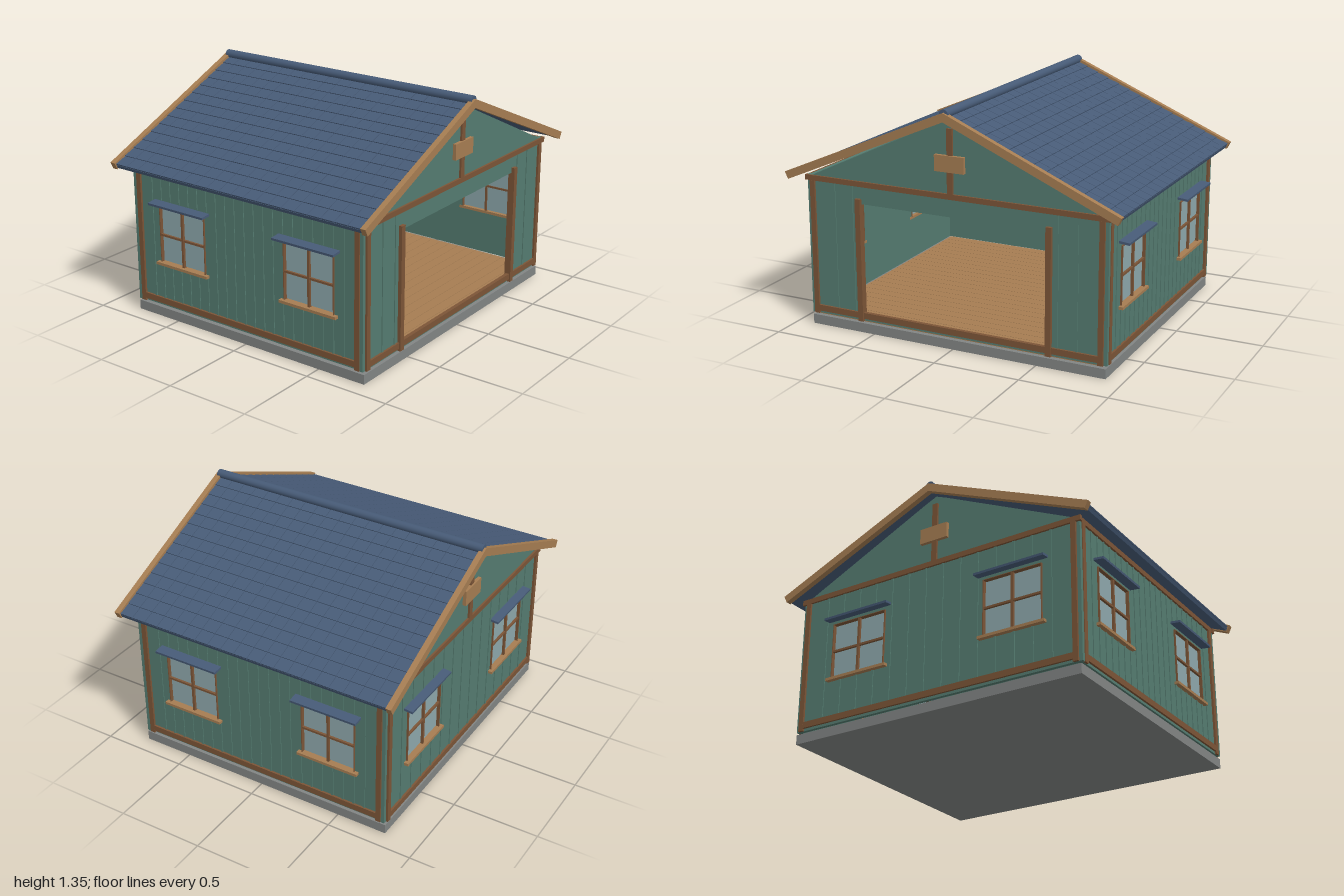
import * as THREE from 'three';
import { mergeGeometries } from 'three/addons/utils/BufferGeometryUtils.js';

const mat = (name, color) => {
  const m = new THREE.MeshStandardMaterial({ color });
  m.name = name;
  return m;
};

export function createModel() {
  const house = new THREE.Group();
  house.name = 'house';
  const green = mat('green wall', 0x557c71);
  const brown = mat('brown trim', 0x7c5537);
  const tan = mat('light wood', 0xa67d52);
  const blue = mat('blue roof', 0x475b77);
  const glass = mat('window glass', 0x8ea8ac);
  const stone = mat('stone base', 0x828584);

  const add = (parent, name, geo, material) => {
    const m = new THREE.Mesh(geo, material);
    m.name = name;
    parent.add(m);
    return m;
  };
  // Box given by its min and max corners
  const span = (x0, x1, y0, y1, z0, z1) =>
    new THREE.BoxGeometry(x1 - x0, y1 - y0, z1 - z0)
      .translate((x0 + x1) / 2, (y0 + y1) / 2, (z0 + z1) / 2);
  const polygon = (pts) => new THREE.Shape(pts.map((p) => new THREE.Vector2(...p)));
  const extrude = (shape, depth, z = 0) =>
    new THREE.ExtrudeGeometry(shape, { depth, bevelEnabled: false }).translate(0, 0, z);

  // Base slab and plank floor
  add(house, 'foundation', span(-0.9, 0.9, 0, 0.055, -0.795, 0.795), stone);
  const planks = [];
  const rows = 24, pitch = 1.54 / rows;
  for (let i = 0; i < rows; i++) {
    const z = -0.77 + i * pitch;
    planks.push(span(-0.87, 0.87, 0.055, 0.068, z, z + pitch - 0.003));
  }
  add(house, 'floorPlanks', mergeGeometries(planks), tan);

  // Window in wall coordinates: outer wall face is z = 0
  const Y0 = 0.338, Y1 = 0.67, YM = (Y0 + Y1) / 2;
  function addWindow(wall, cx, half, reach) {
    const w = new THREE.Group();
    w.name = 'window';
    w.position.x = cx;
    add(w, 'glass', span(-half + 0.01, half - 0.01, Y0 + 0.01, Y1 - 0.01, -0.012, -0.006), glass);
    add(w, 'windowFrame', mergeGeometries([
      span(-0.007, 0.007, Y0, Y1, -0.018, 0.008),
      span(-half, half, YM - 0.006, YM + 0.006, -0.018, 0.007),
      span(-half, -half + 0.005, Y0, Y1, -0.022, 0.01),
      span(half - 0.005, half, Y0, Y1, -0.022, 0.01),
      span(-half, half, Y1 - 0.004, Y1, -0.022, 0.01),
    ]), brown);
    add(w, 'sill', span(-half - 0.022, half + 0.022, Y0 - 0.012, Y0 + 0.004, -0.022, 0.026), tan);
    const hood = add(w, 'hood', new THREE.BoxGeometry(2 * half + 0.07, 0.013, reach + 0.03), blue);
    hood.position.set(0, 0.698, (reach - 0.03) / 2);
    hood.rotation.x = 0.1;
    wall.add(w);
  }

  // Wall with holes, vertical battens and a board frame
  function addWall({ name, half, windows = [], winHalf = 0, opening, reach, spacing }) {
    const wall = new THREE.Group();
    wall.name = name;
    const shape = polygon([[-half, 0.07], [half, 0.07], [half, 0.88], [-half, 0.88]]);
    const hole = (x0, x1, y0, y1) =>
      shape.holes.push(new THREE.Path([[x0, y0], [x0, y1], [x1, y1], [x1, y0]]
        .map((p) => new THREE.Vector2(...p))));
    windows.forEach((cx) => hole(cx - winHalf, cx + winHalf, Y0, Y1));
    if (opening) hole(-opening, opening, 0.085, 0.75);
    add(wall, 'wallPanel', extrude(shape, 0.02, -0.02), green);

    const battens = [];
    const count = Math.round((2 * half - 0.12) / spacing);
    for (let i = 1; i < count; i++) {
      const x = -half + 0.06 + i * (2 * half - 0.12) / count;
      const put = (y0, y1) => battens.push(span(x - 0.006, x + 0.006, y0, y1, -0.001, 0.005));
      if (opening && Math.abs(x) < opening + 0.03) continue;
      if (windows.some((cx) => Math.abs(x - cx) < winHalf + 0.02)) {
        put(0.1, Y0 - 0.01);
        put(0.71, 0.86);
      } else put(0.1, 0.86);
    }
    add(wall, 'battens', mergeGeometries(battens), green);

    const e = half - 0.02, f = half - 0.05;
    add(wall, 'boardFrame', mergeGeometries([
      span(-e, e, 0.085, 0.12, -0.01, 0.012),
      span(-half - 0.01, half + 0.01, 0.85, 0.88, -0.01, 0.012),
      span(-e, -f, 0.07, 0.85, 0, 0.0125),
      span(f, e, 0.07, 0.85, 0, 0.0125),
    ]), brown);
    windows.forEach((cx) => addWindow(wall, cx, winHalf, reach));
    house.add(wall);
    return wall;
  }

  // Gable triangle with king post and plaque
  function addGable(wall) {
    add(wall, 'gable', extrude(polygon([[-0.875, 0.878], [0.875, 0.878], [0, 1.29]]), 0.02, -0.02), green);
    add(wall, 'kingPost', span(-0.017, 0.017, 0.88, 1.235, -0.005, 0.012), brown);
    add(wall, 'plaque', span(-0.088, 0.088, 1, 1.09, 0, 0.02), tan);
  }

  const front = addWall({ name: 'frontWall', half: 0.905, opening: 0.565, spacing: 0.11 });
  front.position.z = 0.79;
  addGable(front);
  for (const s of [-1, 1]) {
    add(front, 'doorPost', span(-0.016, 0.016, 0.07, 0.78, -0.02, 0.02), brown).position.x = s * 0.575;
  }

  const back = addWall({
    name: 'backWall', half: 0.905, windows: [-0.5, 0.5], winHalf: 0.18, reach: 0.05, spacing: 0.11,
  });
  back.position.z = -0.79;
  back.rotation.y = Math.PI;
  addGable(back);

  for (const s of [-1, 1]) {
    const side = addWall({
      name: s > 0 ? 'leftWall' : 'rightWall', half: 0.788,
      windows: [-0.44, 0.44], winHalf: 0.165, reach: 0.06, spacing: 0.065,
    });
    side.position.x = s * 0.896;
    side.rotation.y = s * Math.PI / 2;
  }

  // Roof slab, and fascia boards on both ends
  const chevron = (x, top, drop, x2, low, under) =>
    polygon([[0, top], [-x, drop], [-x2, low], [0, under], [x2, low], [x, drop]]);
  add(house, 'roofSlab', extrude(chevron(0.985, 1.308, 0.888, 0.977, 0.87, 1.287), 1.68, -0.84), blue);
  for (const z of [-0.87, 0.838]) {
    add(house, 'bargeBoard', extrude(chevron(1, 1.332, 0.902, 0.98, 0.862, 1.283), 0.032, z), tan);
  }

  // Overlapping roof tiles, one slope mirrored
  const courses = 14, columns = 20, slope = Math.atan2(0.42, 0.985);
  const len = 0.985 / Math.cos(slope) / courses, wide = 1.676 / columns;
  const tiles = [];
  for (let i = 0; i < courses; i++) {
    for (let j = 0; j < columns; j++) {
      tiles.push(new THREE.BoxGeometry(len, 0.008, wide - 0.003)
        .rotateZ(0.06)
        .translate((i + 0.5) * len, 0.004, -0.838 + (j + 0.5) * wide));
    }
  }
  const tileGeo = mergeGeometries(tiles).rotateZ(-slope).translate(0, 1.308, 0);
  for (const turn of [0, Math.PI]) add(house, 'roofTiles', tileGeo, blue).rotation.y = turn;

  // Ridge cap
  const ridge = add(house, 'ridgeCap', new THREE.CylinderGeometry(0.026, 0.026, 1.715, 16), blue);
  ridge.rotation.x = Math.PI / 2;
  ridge.position.y = 1.323;

  return house;
}
